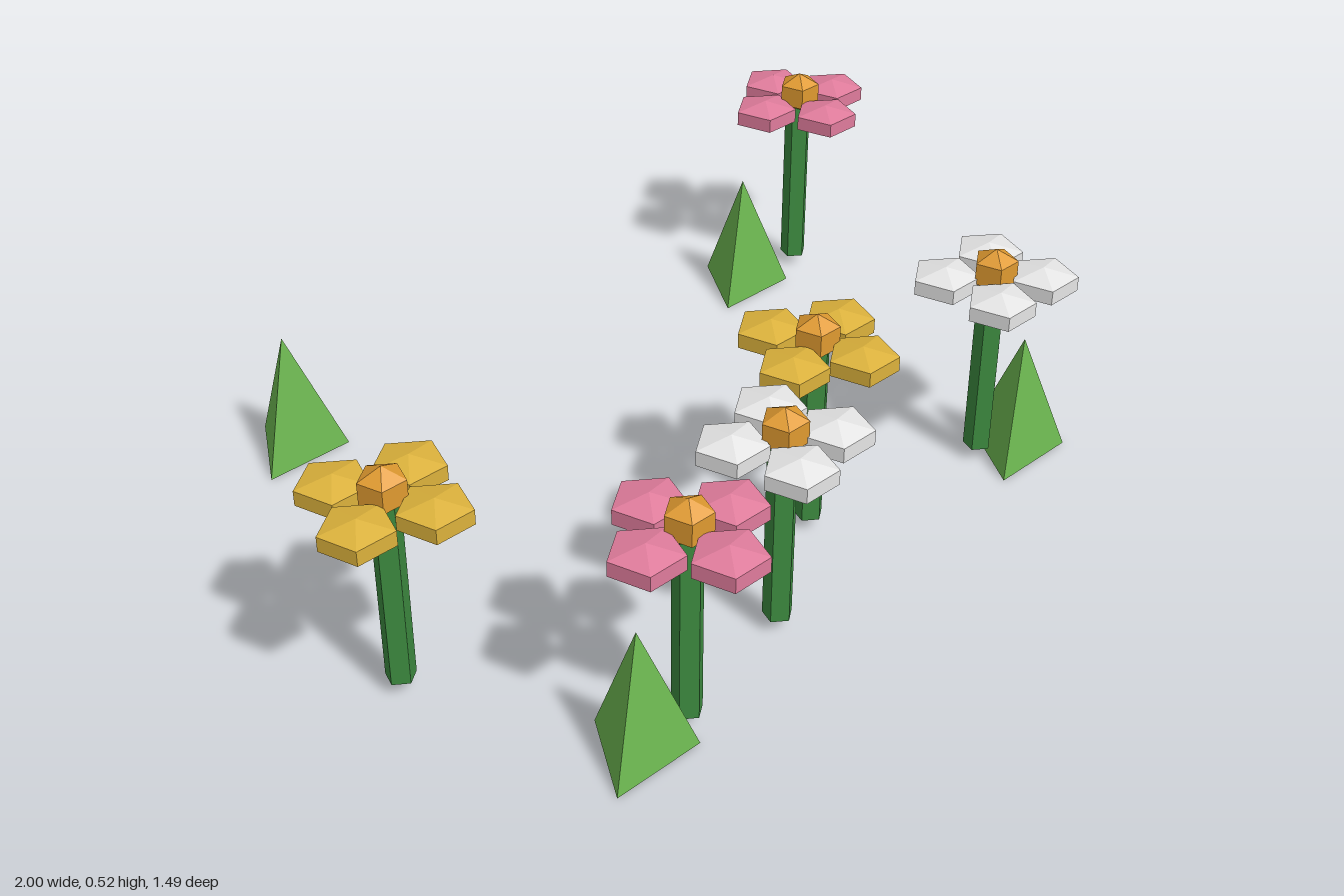
import * as THREE from 'three';

const material = (name, color) => {
  const m = new THREE.MeshStandardMaterial({ color, flatShading: true });
  m.name = name;
  return m;
};

export function createModel() {
  const model = new THREE.Group();
  model.name = 'flowerPatch';

  const stemGreen = material('stemGreen', 0x3d8b40);
  const grassGreen = material('grassGreen', 0x6cb650);
  const orange = material('centreOrange', 0xe09a30);
  const pink = material('petalPink', 0xe07c9c);
  const yellow = material('petalYellow', 0xdcb23c);
  const white = material('petalWhite', 0xe6e6e6);

  // Five-sided flattened bead with one corner towards -z
  const bead = (r, h) => new THREE.SphereGeometry(1, 5, 3).rotateY(-Math.PI / 2).scale(r, h, r);
  const petalGeo = bead(0.084, 0.032);
  const centreGeo = bead(0.054, 0.048);
  const stemGeo = new THREE.CylinderGeometry(0.031, 0.031, 0.41, 5);
  const tuftGeo = new THREE.ConeGeometry(0.118, 0.29, 3).rotateY(Math.PI);

  const add = (parent, name, geo, mat, x, y, z) => {
    const mesh = new THREE.Mesh(geo, mat);
    mesh.name = name;
    mesh.position.set(x, y, z);
    parent.add(mesh);
  };

  // Flowers: x, z, turn of the petal ring, petal colour
  const flowers = [
    [-0.84, 0.15, -0.46, yellow],
    [-0.51, 0.586, 0, pink],
    [-0.195, 0.51, 0.51, white],
    [0.08, 0.33, -0.3, yellow],
    [0.53, 0.41, 0.76, white],
    [0.83, -0.44, 0.14, pink],
  ];
  for (const [x, z, turn, petalMat] of flowers) {
    const flower = new THREE.Group();
    flower.name = 'flower';
    flower.position.set(x, 0, z);
    add(flower, 'stem', stemGeo, stemGreen, 0, 0.235, 0);
    add(flower, 'flowerCentre', centreGeo, orange, 0, 0.472, 0);
    for (let i = 0; i < 4; i++) {
      const a = turn + (i * Math.PI) / 2;
      add(flower, 'petal', petalGeo, petalMat, 0.101 * Math.cos(a), 0.445, 0.101 * Math.sin(a));
    }
    model.add(flower);
  }

  // Three-sided grass tufts
  for (const [x, z] of [[-0.55, -0.626], [-0.634, 0.584], [0.655, -0.45], [0.6, 0.455]]) {
    add(model, 'grassTuft', tuftGeo, grassGreen, x, 0.145, z);
  }
  return model;
}
